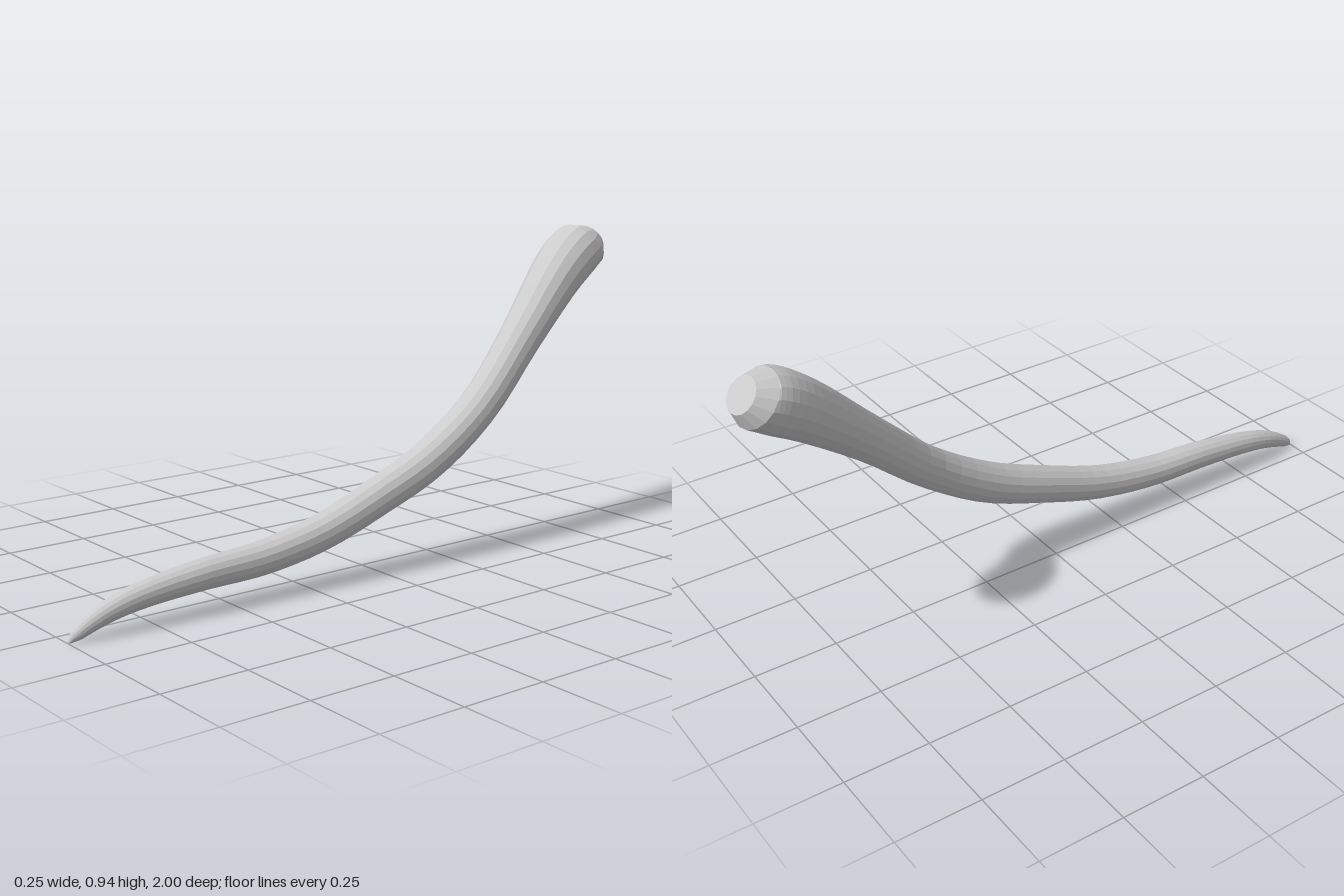
import * as THREE from 'three';

const SIDES = 16;
const STEPS = 48;

// Stations from the pointed tip to the thick end: x, y, z, radius
const STATIONS = [
  [0.065, 0.006, 0.996, 0.005],
  [0.065, 0.022, 0.975, 0.018],
  [0.064, 0.057, 0.9, 0.028],
  [0.063, 0.083, 0.8, 0.035],
  [0.064, 0.105, 0.6, 0.043],
  [0.065, 0.115, 0.4, 0.048],
  [0.065, 0.15, 0.2, 0.052],
  [0.064, 0.218, 0, 0.056],
  [0.063, 0.3, -0.2, 0.06],
  [0.056, 0.43, -0.4, 0.06],
  [0.022, 0.612, -0.6, 0.065],
  [-0.024, 0.79, -0.8, 0.083],
  [-0.038, 0.848, -0.88, 0.088],
  [-0.043, 0.874, -0.928, 0.083],
];

// Sweeps round cross-sections along the curve and closes both ends
function sweep() {
  const path = new THREE.CatmullRomCurve3(STATIONS.map(([x, y, z]) => new THREE.Vector3(x, y, z)));
  const radii = new THREE.CatmullRomCurve3(
    STATIONS.map(([, , , r], i) => new THREE.Vector3(r, i * 0.05, 0)));
  const rings = [];
  for (let i = 0; i <= STEPS; i++) {
    const t = i / STEPS;
    rings.push({ centre: path.getPoint(t), tangent: path.getTangent(t), r: radii.getPoint(t).x });
  }

  // Bevel and flat disc on the thick end
  const endTangent = new THREE.Vector3(-0.1, 0.63, -0.78).normalize();
  rings[STEPS].tangent.copy(endTangent);
  const disc = new THREE.Vector3(-0.046, 0.896, -0.967);
  rings.push({ centre: disc, tangent: endTangent, r: 0.052 });

  const positions = [];
  const indices = [];
  for (const { centre, tangent, r } of rings) {
    const side = new THREE.Vector3(1, 0, 0).addScaledVector(tangent, -tangent.x).normalize();
    const up = new THREE.Vector3().crossVectors(tangent, side);
    for (let j = 0; j < SIDES; j++) {
      const a = (j / SIDES) * Math.PI * 2;
      const p = centre.clone()
        .addScaledVector(side, r * Math.cos(a))
        .addScaledVector(up, r * Math.sin(a));
      positions.push(p.x, p.y, p.z);
    }
  }
  for (let i = 0; i < rings.length - 1; i++) {
    for (let j = 0; j < SIDES; j++) {
      const k = (j + 1) % SIDES;
      const a = i * SIDES + j, b = i * SIDES + k;
      indices.push(a, b, b + SIDES, a, b + SIDES, a + SIDES);
    }
  }

  // End fans: tip point and disc centre
  const last = (rings.length - 1) * SIDES;
  const tip = rings.length * SIDES;
  positions.push(0.065, 0.003, 1, disc.x, disc.y, disc.z);
  for (let j = 0; j < SIDES; j++) {
    const k = (j + 1) % SIDES;
    indices.push(tip, k, j, tip + 1, last + j, last + k);
  }

  const geometry = new THREE.BufferGeometry();
  geometry.setAttribute('position', new THREE.Float32BufferAttribute(positions, 3));
  geometry.setIndex(indices);
  geometry.computeVertexNormals();
  return geometry;
}

export function createModel() {
  const group = new THREE.Group();
  group.name = 'curvedHorn';
  const material = new THREE.MeshStandardMaterial({ color: 0xcccccc, flatShading: true });
  const horn = new THREE.Mesh(sweep(), material);
  horn.name = 'taperedHorn';
  group.add(horn);
  return group;
}
